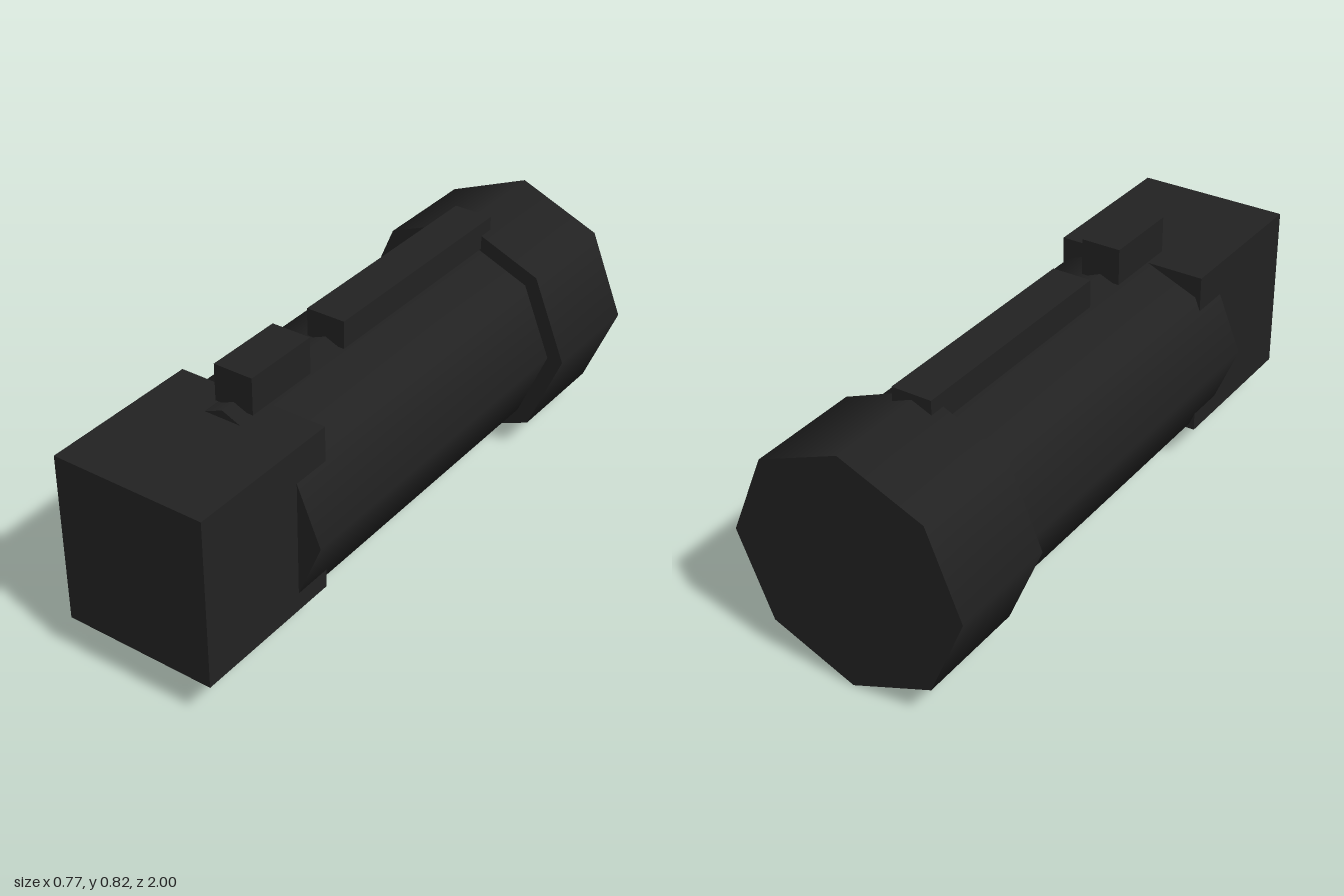
import * as THREE from 'three';

export function createModel() {
  const model = new THREE.Group();
  const black = new THREE.MeshStandardMaterial({ color: 0x222222 });
  black.name = 'matte black';
  const axisY = 0.387;

  const add = (name, geometry, y, z) => {
    const mesh = new THREE.Mesh(geometry, black);
    mesh.name = name;
    mesh.position.set(0, y, z);
    model.add(mesh);
  };
  // Eight-sided tube along z with smooth sides
  const tube = (name, radius, z0, z1) =>
    add(name, new THREE.CylinderGeometry(radius, radius, z1 - z0, 8).rotateX(Math.PI / 2), axisY, (z0 + z1) / 2);
  // Box centred on x, given by its y and z ranges
  const block = (name, width, y0, y1, z0, z1) =>
    add(name, new THREE.BoxGeometry(width, y1 - y0, z1 - z0), (y0 + y1) / 2, (z0 + z1) / 2);

  // Main body and wider rear collar
  tube('barrel', 0.332, -0.63, 0.6);
  tube('rearCollar', 0.386, -1, -0.627);

  // Square front housing overlapping the barrel
  block('frontHousing', 0.506, 0.135, 0.693, 0.468, 1);

  // Raised pieces along the top
  block('topRail', 0.132, 0.7, 0.792, -0.68, 0.12);
  block('topBlock', 0.132, 0.7, 0.82, 0.283, 0.548);

  return model;
}
